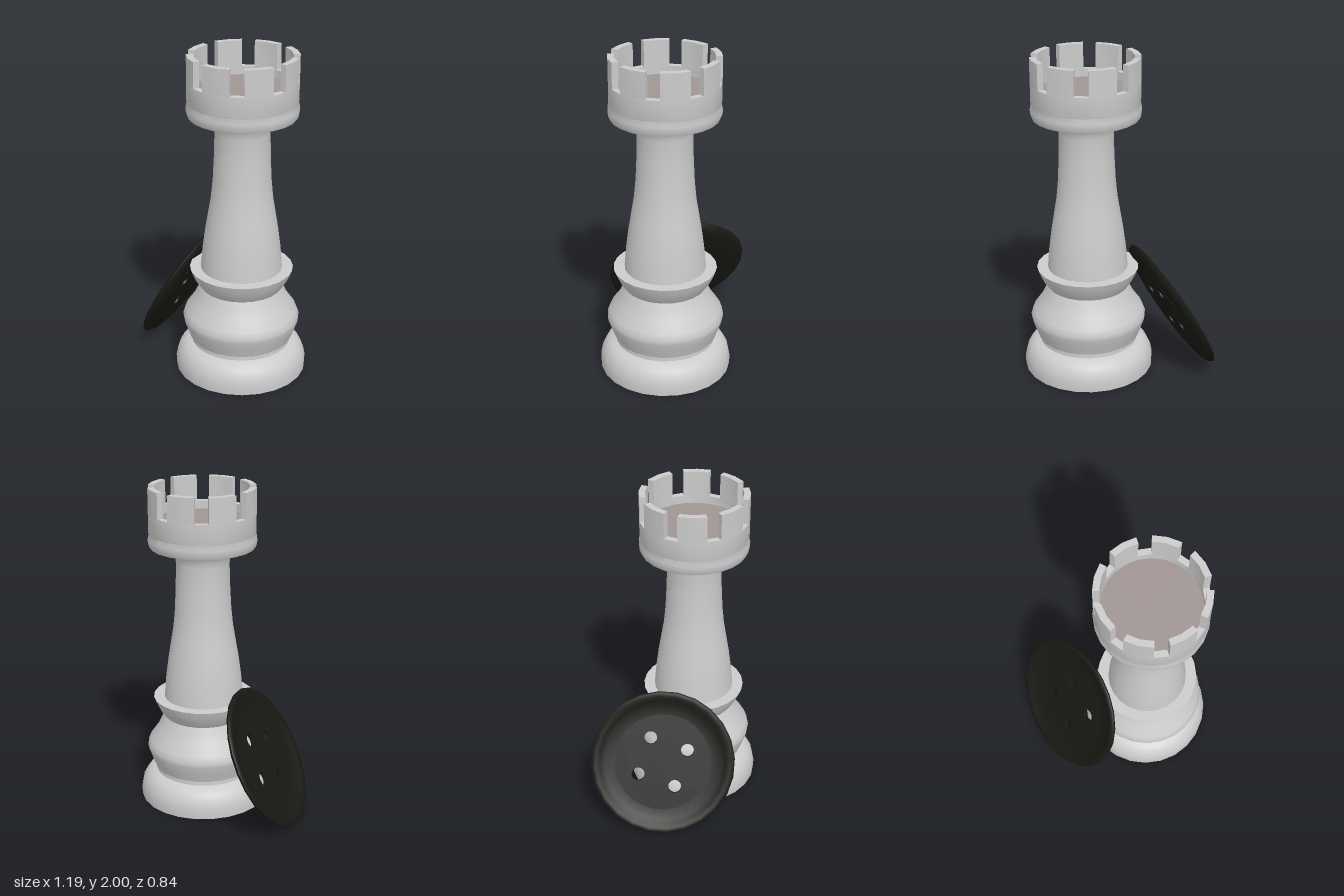
import * as THREE from 'three';
import { toCreasedNormals } from 'three/addons/utils/BufferGeometryUtils.js';

const SIDES = 24;
const STEP = (Math.PI * 2) / SIDES;
const SLOT_Y = 1.845;
const OUTER = 0.324;
const INNER = 0.285;

const stone = new THREE.MeshStandardMaterial({ color: 0xcccccc, side: THREE.DoubleSide });
const felt = new THREE.MeshStandardMaterial({ color: 0xa09592 });
const dark = new THREE.MeshStandardMaterial({ color: 0x181814 });

function addMesh(parent, name, geometry, material) {
  const mesh = new THREE.Mesh(geometry, material);
  mesh.name = name;
  parent.add(mesh);
  return mesh;
}

function turned(profile, crease = 0.6) {
  const points = profile.map(([r, y]) => new THREE.Vector2(r, y));
  return toCreasedNormals(new THREE.LatheGeometry(points, SIDES, STEP / 2), crease);
}

// One battlement block: a ring sector two facets wide
function merlonGeometry() {
  const at = (r, i) => new THREE.Vector2(r * Math.cos((i + 0.5) * STEP), r * Math.sin((i + 0.5) * STEP));
  const shape = new THREE.Shape([
    at(OUTER, 0), at(OUTER, 1), at(OUTER, 2),
    at(INNER, 2), at(INNER, 1), at(INNER, 0),
  ]);
  const geo = new THREE.ExtrudeGeometry(shape, { depth: 2 - SLOT_Y, bevelEnabled: false });
  geo.rotateX(-Math.PI / 2);
  return toCreasedNormals(geo, 0.6);
}

function createRook() {
  const rook = new THREE.Group();
  rook.name = 'rook';

  // Hollow foot, bulge and flared collar
  addMesh(rook, 'base', turned([
    [0.402, 0], [0.404, 0.05], [0.394, 0.1], [0.37, 0.145], [0.34, 0.17], [0.305, 0.182],
    [0.303, 0.21], [0.315, 0.213], [0.335, 0.27], [0.355, 0.325], [0.358, 0.35], [0.342, 0.39],
    [0.295, 0.455], [0.268, 0.51], [0.25, 0.55], [0.278, 0.59], [0.3, 0.635], [0.314, 0.672],
    [0.247, 0.672],
  ]), stone);

  // Tapered column flaring out under the head
  addMesh(rook, 'column', turned([
    [0.247, 0.672], [0.236, 0.8], [0.22, 0.92], [0.2, 1.04], [0.185, 1.13], [0.174, 1.24],
    [0.166, 1.4], [0.163, 1.54], [0.168, 1.575], [0.184, 1.605], [0.205, 1.625], [0.232, 1.636],
    [0.318, 1.636],
  ]), stone);

  // Head ring, outer wall, slot sills and inner wall
  addMesh(rook, 'head', turned([
    [0.318, 1.636], [0.328, 1.66], [0.329, 1.69], [0.322, 1.722], [OUTER, 1.727],
    [OUTER, SLOT_Y], [INNER, SLOT_Y], [INNER, 1.79],
  ]), stone);

  const floor = new THREE.CircleGeometry(INNER, SIDES, STEP / 2);
  floor.rotateX(-Math.PI / 2);
  addMesh(rook, 'towerFloor', floor, felt).position.y = 1.795;

  // Eight battlements with one-facet gaps
  const merlon = merlonGeometry();
  for (let i = 0; i < 8; i++) {
    const block = addMesh(rook, 'battlement', merlon, stone);
    block.position.y = SLOT_Y;
    block.rotation.y = (i * Math.PI) / 4;
  }
  return rook;
}

function createButton() {
  const button = new THREE.Group();
  button.name = 'button';

  // Centre plate with four thread holes
  const plate = new THREE.Shape().absarc(0, 0, 0.32, 0, Math.PI * 2);
  for (const sx of [-1, 1]) {
    for (const sy of [-1, 1]) {
      plate.holes.push(new THREE.Path().absarc(sx * 0.12, sy * 0.12, 0.04, 0, Math.PI * 2, true));
    }
  }
  const web = new THREE.ExtrudeGeometry(plate, { depth: 0.022, bevelEnabled: false, curveSegments: 12 });
  web.translate(0, 0, -0.011);
  addMesh(button, 'buttonPlate', toCreasedNormals(web, 0.6), dark);

  // Raised rounded rim
  const rim = turned([
    [0.3, -0.011], [0.37, -0.008], [0.415, 0.002], [0.44, 0.017], [0.446, 0.03],
    [0.436, 0.042], [0.415, 0.042], [0.39, 0.03], [0.36, 0.016], [0.3, 0.011],
  ], 0.9);
  rim.rotateX(Math.PI / 2);
  addMesh(button, 'buttonRim', rim, dark);
  return button;
}

export function createModel() {
  const model = new THREE.Group();
  model.name = 'rookAndButton';

  const rook = createRook();
  rook.position.set(0.188, 0, -0.015);
  rook.rotation.y = -0.03;

  // The button leans against the rook, its dished side facing up and away
  const button = createButton();
  const normal = new THREE.Vector3(-0.806, 0.47, 0.362).normalize();
  const side = new THREE.Vector3(0.54, 0.835, 0.125);
  side.addScaledVector(normal, -side.dot(normal)).normalize();
  const up = new THREE.Vector3().crossVectors(normal, side);
  button.quaternion.setFromRotationMatrix(new THREE.Matrix4().makeBasis(side, up, normal));
  button.position.set(-0.31, 0.388, -0.008);

  model.add(rook, button);
  return model;
}
